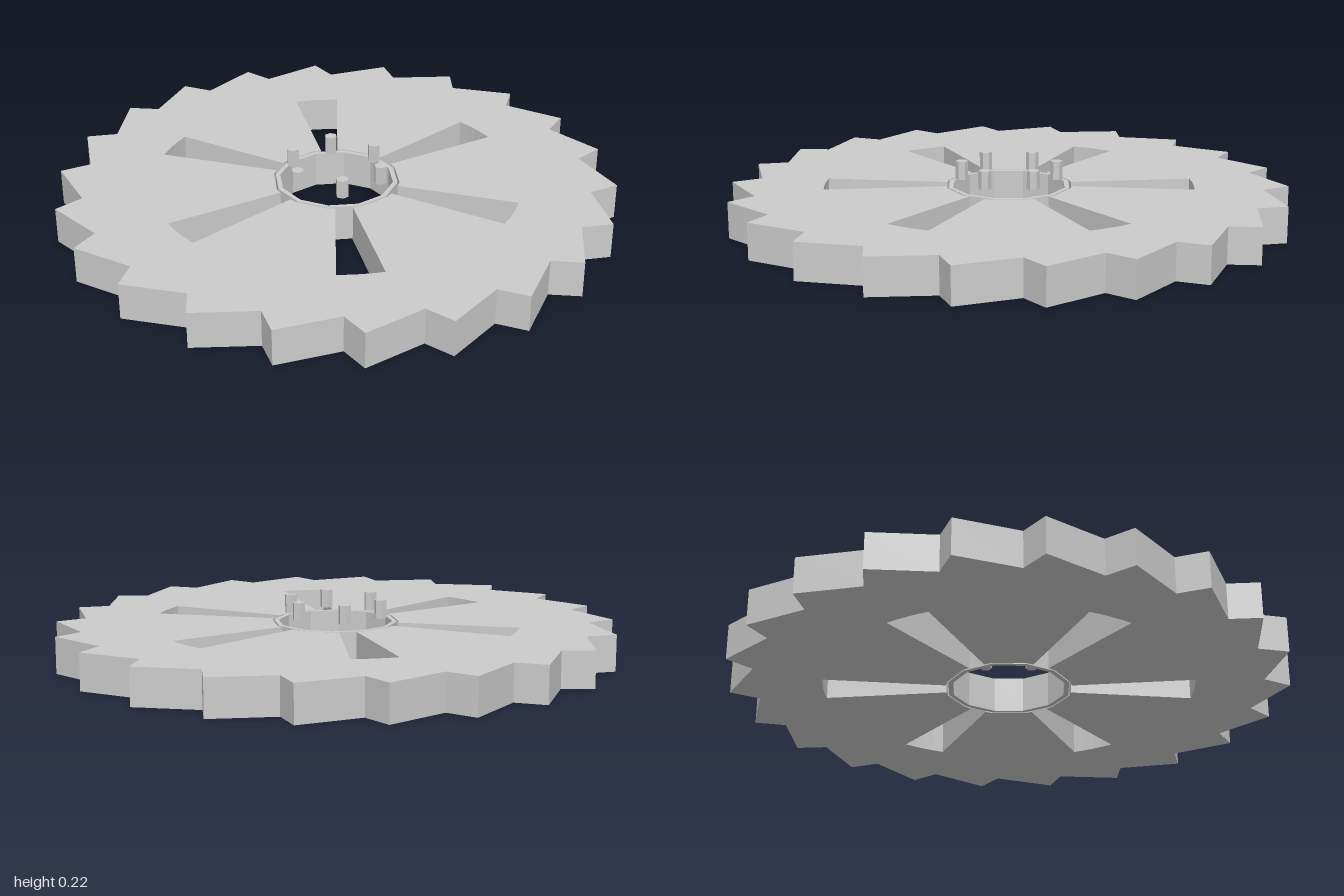
import * as THREE from 'three';

const DEG = Math.PI / 180;
const polar = (r, deg) => new THREE.Vector2(r * Math.cos(deg * DEG), r * Math.sin(deg * DEG));

export function createModel() {
  const group = new THREE.Group();
  const material = new THREE.MeshStandardMaterial({ color: 0xcccccc, flatShading: true });
  const thickness = 0.13;

  // Lay an outline flat on the ground and give it thickness
  const addPlate = (name, outline, hole) => {
    const shape = new THREE.Shape(outline);
    shape.holes.push(new THREE.Path(hole));
    const geometry = new THREE.ExtrudeGeometry(shape, { depth: thickness, bevelEnabled: false });
    geometry.rotateX(-Math.PI / 2);
    const mesh = new THREE.Mesh(geometry, material);
    mesh.name = name;
    group.add(mesh);
  };

  // Raked teeth round the rim
  const teeth = 22;
  const rim = [];
  for (let i = 0; i < teeth; i++) {
    const valley = 81.82 + (i * 360) / teeth;
    rim.push(polar(0.907, valley), polar(1.003, valley + 3.6));
  }

  // Central opening with six flared slots running out of it
  const opening = [];
  for (let i = 0; i < 6; i++) {
    const a = i * 60;
    opening.push(polar(0.226, a - 7.8));
    for (const d of [-7, -3.5, 0, 3.5, 7]) opening.push(polar(0.664, a + d));
    opening.push(polar(0.226, a + 7.8), polar(0.228, a + 15), polar(0.228, a + 45));
  }
  addPlate('toothedDisc', rim, opening);

  // Thin twelve-sided ring lining the opening
  const polygon = (r) => Array.from({ length: 12 }, (_, i) => polar(r, 15 + i * 30));
  addPlate('hubRing', polygon(0.222), polygon(0.205));

  // Six hexagonal bolts hovering above the hub
  const boltGeometry = new THREE.CylinderGeometry(0.023, 0.023, 0.066, 6);
  boltGeometry.rotateY(Math.PI / 2);
  for (let i = 0; i < 6; i++) {
    const p = polar(0.17, i * 60);
    const bolt = new THREE.Mesh(boltGeometry, material);
    bolt.name = `bolt${i + 1}`;
    bolt.position.set(p.x, 0.183, p.y);
    group.add(bolt);
  }
  return group;
}
